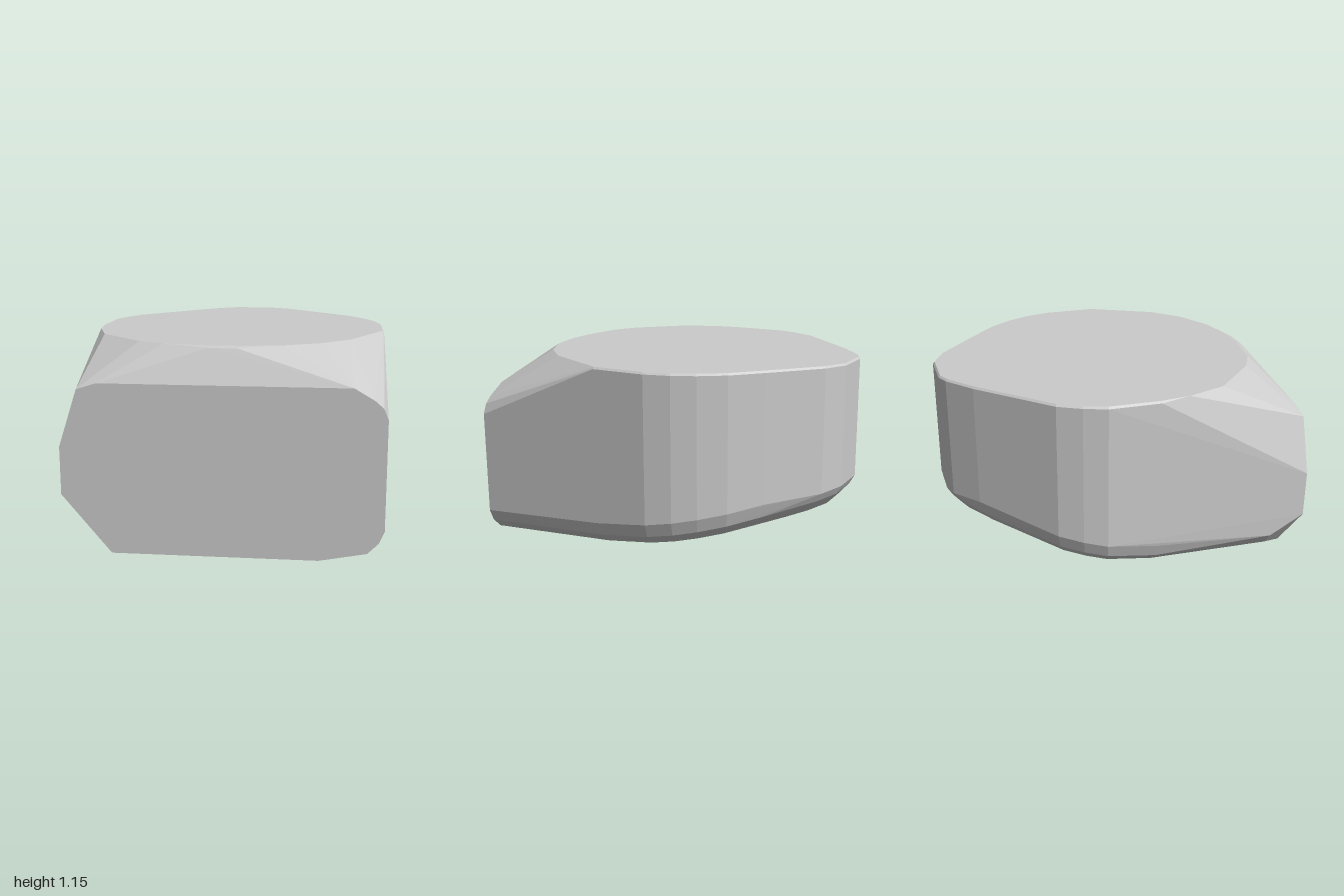
import * as THREE from 'three';
import { ConvexGeometry } from 'three/addons/geometries/ConvexGeometry.js';

// Plan outline of the vertical wall, from the right side round the back to the left
const wall = [
  [0.88, 0.2], [0.88, -0.12], [0.845, -0.27], [0.785, -0.4], [0.69, -0.54], [0.53, -0.69],
  [0.26, -0.93], [0.12, -1], [-0.12, -1], [-0.19, -0.97], [-0.35, -0.84], [-0.73, -0.46],
  [-0.8, -0.33], [-0.845, -0.2], [-0.85, 0.1],
];

// Rounded front edge of the flat top
const topFront = [
  [0.87, 0.2], [0.68, 0.58], [0.53, 0.73], [0.32, 0.84], [0.11, 0.88],
  [-0.08, 0.88], [-0.33, 0.84], [-0.48, 0.76], [-0.74, 0.5], [-0.82, 0.27],
];

// Outline of the flat front face
const frontFace = [
  [-0.61, 0], [0.53, 0], [0.79, 0.05], [0.85, 0.11], [0.88, 0.18], [0.88, 0.79], [0.855, 0.85],
  [0.81, 0.89], [0.7, 0.955], [-0.67, 0.955], [-0.78, 0.92], [-0.885, 0.6], [-0.885, 0.33],
];

// Underside rises in a gentle curve towards the back
const underside = (z) => 0.02 * (1 - z) + 0.06 * (1 - z) ** 2;

function inset([x, z], d) {
  const s = 1 - d / Math.hypot(x, z);
  return [x * s, z * s];
}

export function createModel() {
  const group = new THREE.Group();
  const points = [];
  const add = (x, y, z) => points.push(new THREE.Vector3(x, y, z));

  frontFace.forEach(([x, y]) => add(x, y, 1));
  topFront.forEach(([x, z]) => add(x, 1.15, z));
  add(0.08, 1.14, 0.91);
  add(-0.08, 1.14, 0.91);

  wall.forEach((p) => {
    // Small bevel at the top of the wall
    add(p[0], 1.138, p[1]);
    const [tx, tz] = inset(p, 0.01);
    add(tx, 1.15, tz);
    // Rounded lower edge: [inset, height above the underside]
    const rise = p[1] < -0.9 ? 0.145 : 0.18;
    [[0, rise], [0.03, 0.1], [0.09, 0.045], [0.25, 0]].forEach(([d, h]) => {
      const [x, z] = inset(p, d);
      add(x, underside(z) + h, z);
    });
  });

  // Lower corners just behind the front face
  add(-0.875, 0.21, 0.8);
  add(-0.81, 0.13, 0.8);
  add(-0.62, 0.02, 0.8);
  add(0.68, 0.015, 0.8);

  const body = new THREE.Mesh(
    new ConvexGeometry(points),
    new THREE.MeshStandardMaterial({ color: 0xcccccc, flatShading: true }),
  );
  body.name = 'body';
  group.add(body);
  return group;
}
